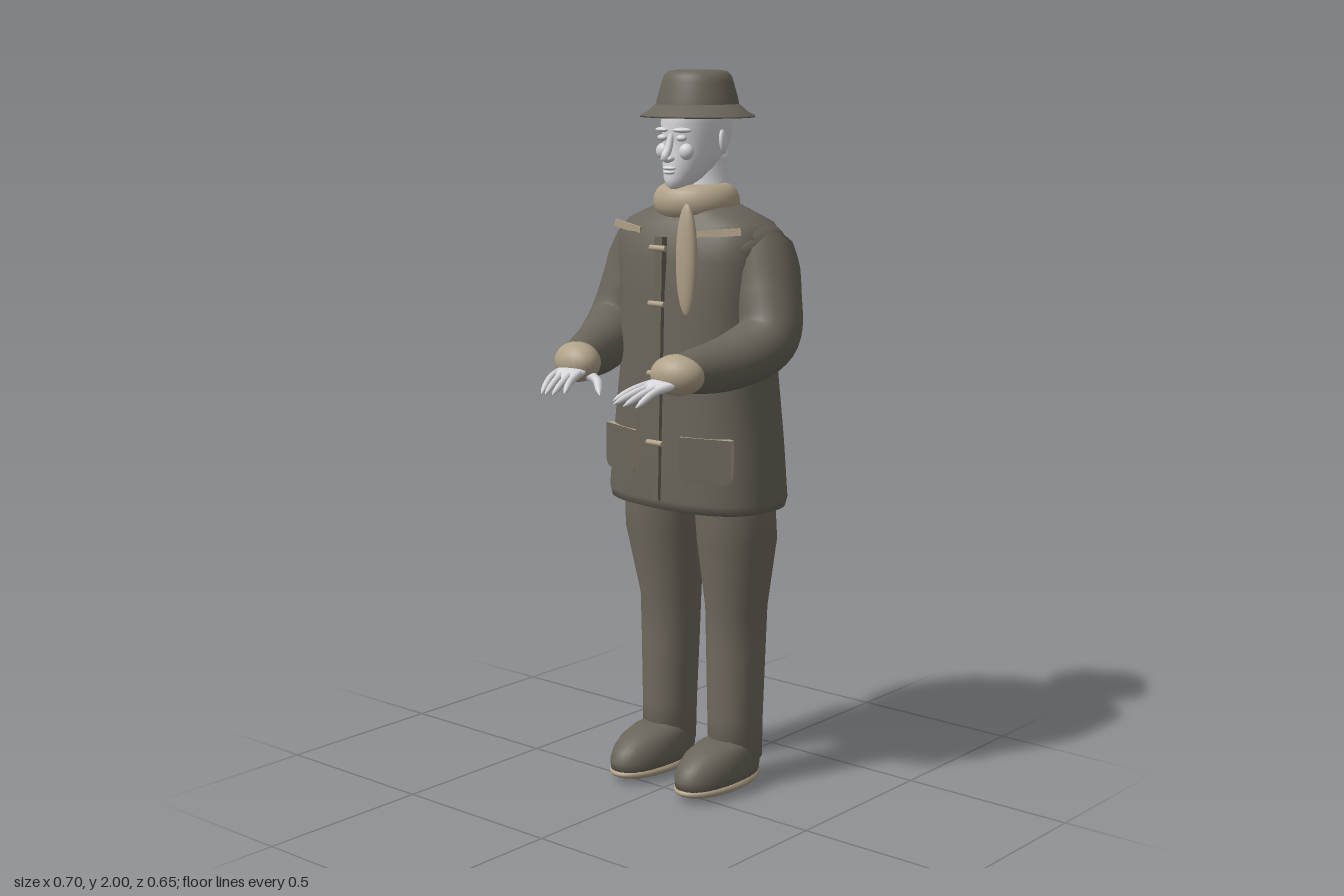
import * as THREE from 'three';

const mat = (name, color) => {
  const m = new THREE.MeshStandardMaterial({ color });
  m.name = name;
  return m;
};

export function createModel() {
  const model = new THREE.Group();
  const coatMat = mat('coat wool', 0x6a655a);
  const trouserMat = mat('trouser cloth', 0x70695d);
  const tan = mat('tan knit', 0xb0a188);
  const skin = mat('pale skin', 0xd6d6da);

  const add = (name, geo, material, pos = [0, 0, 0], scale = [1, 1, 1], rot = [0, 0, 0]) => {
    const m = new THREE.Mesh(geo, material);
    m.name = name;
    m.position.set(...pos);
    m.scale.set(...scale);
    m.rotation.set(...rot);
    model.add(m);
    return m;
  };
  const ball = (name, material, pos, radii, rot) =>
    add(name, new THREE.SphereGeometry(1, 28, 18), material, pos, radii, rot);

  // Stacked horizontal sections: [y, centre x, half width, front z, back z]
  const loft = (rings, power = 2, n = 40) => {
    const pos = [], idx = [];
    const bend = (v) => Math.sign(v) * Math.abs(v) ** (2 / power);
    rings.forEach(([y, cx, w, zf, zb]) => {
      for (let j = 0; j < n; j++) {
        const a = (j / n) * Math.PI * 2;
        pos.push(cx + w * bend(Math.cos(a)), y, (zf + zb) / 2 + ((zf - zb) / 2) * bend(Math.sin(a)));
      }
    });
    const last = (rings.length - 1) * n, c = rings.length * n;
    for (const [y, cx, , zf, zb] of [rings[0], rings.at(-1)]) pos.push(cx, y, (zf + zb) / 2);
    for (let j = 0; j < n; j++) {
      const k = (j + 1) % n;
      for (let o = 0; o < last; o += n) idx.push(o + j, o + n + j, o + k, o + k, o + n + j, o + n + k);
      idx.push(c, j, k, c + 1, last + k, last + j);
    }
    const g = new THREE.BufferGeometry();
    g.setAttribute('position', new THREE.Float32BufferAttribute(pos, 3));
    g.setIndex(idx);
    g.computeVertexNormals();
    return g;
  };

  // Tube along points whose thickness follows evenly spaced radii
  const limb = (points, radii, segs = 24, sides = 20) => {
    const curve = new THREE.CatmullRomCurve3(points.map((p) => new THREE.Vector3(...p)));
    const g = new THREE.TubeGeometry(curve, segs, 1, sides);
    const p = g.attributes.position, v = new THREE.Vector3();
    for (let i = 0; i <= segs; i++) {
      const c = curve.getPointAt(i / segs);
      const t = (i / segs) * (radii.length - 1), k = Math.min(Math.floor(t), radii.length - 2);
      const r = THREE.MathUtils.lerp(radii[k], radii[k + 1], t - k);
      for (let j = 0; j <= sides; j++) {
        const q = i * (sides + 1) + j;
        v.fromBufferAttribute(p, q).sub(c).multiplyScalar(r).add(c);
        p.setXYZ(q, v.x, v.y, v.z);
      }
    }
    return g;
  };

  // Coat body
  add('coat', loft([
    [0.81, 0, 0.245, 0.01, -0.3], [0.815, 0, 0.262, 0.024, -0.315], [0.84, 0, 0.268, 0.03, -0.322],
    [1.0, 0, 0.252, 0.026, -0.32], [1.2, 0, 0.227, 0.02, -0.315], [1.4, 0, 0.232, 0.014, -0.322],
    [1.5, 0, 0.245, 0.005, -0.312], [1.56, 0, 0.245, -0.008, -0.298], [1.595, 0, 0.222, -0.03, -0.28],
    [1.62, 0, 0.165, -0.05, -0.255], [1.645, 0, 0.1, -0.06, -0.235],
  ], 2.5, 56), coatMat);
  add('placket', new THREE.BoxGeometry(0.026, 0.72, 0.02), coatMat, [0, 1.2, 0.022], [1, 1, 1], [-0.025, 0, 0]);
  [[1.53, 0.024], [1.38, 0.03], [1.19, 0.034], [1.0, 0.038]].forEach(([y, z]) =>
    add('toggle', new THREE.CylinderGeometry(0.008, 0.008, 0.054, 12), tan, [0, y, z], [1, 1, 1], [0, 0, Math.PI / 2]));

  // Pocket outline with rounded lower corners
  const pocket = new THREE.Shape();
  pocket.moveTo(-0.075, 0.062);
  pocket.lineTo(-0.075, -0.035);
  pocket.quadraticCurveTo(-0.075, -0.062, -0.048, -0.062);
  pocket.lineTo(0.048, -0.062);
  pocket.quadraticCurveTo(0.075, -0.062, 0.075, -0.035);
  pocket.lineTo(0.075, 0.062);
  const pocketGeo = new THREE.ExtrudeGeometry(pocket, { depth: 0.022, bevelEnabled: false });

  for (const s of [1, -1]) {
    const side = s > 0 ? 'left' : 'right';

    add(side + 'Pocket', pocketGeo, [coatMat, tan], [s * 0.146, 0.963, -0.012], [1, 1, 1], [0, s * 0.3, 0]);
    add(side + 'ShoulderFlap', new THREE.BoxGeometry(0.13, 0.02, 0.006), tan,
      [s * 0.16, 1.575, -0.036], [1, 1, 1], [0, s * 0.28, s * 0.1]);

    // Sleeve, cuff and hand
    add(side + 'Sleeve', limb(
      [[s * 0.17, 1.56, -0.165], [s * 0.2, 1.52, -0.165], [s * 0.237, 1.41, -0.15], [s * 0.265, 1.3, -0.115],
        [s * 0.235, 1.245, -0.01], [s * 0.178, 1.22, 0.16]],
      [0.04, 0.09, 0.095, 0.092, 0.089, 0.087, 0.084, 0.08, 0.074, 0.068, 0.06, 0.05], 44, 28), coatMat);
    ball(side + 'Shoulder', coatMat, [s * 0.178, 1.53, -0.16], [0.082, 0.075, 0.11]);
    ball(side + 'Cuff', tan, [s * 0.178, 1.22, 0.153], [0.076, 0.055, 0.057], [0, s * 0.25, 0]);
    ball(side + 'Palm', skin, [s * 0.16, 1.198, 0.2], [0.046, 0.016, 0.05], [0.25, s * -0.3, 0]);
    [[0.196, 0.167, 0.308], [0.175, 0.138, 0.324], [0.15, 0.108, 0.328], [0.126, 0.086, 0.305]]
      .forEach(([x0, x1, z1], i) => add(side + 'Finger', limb(
        [[s * x0, 1.198, 0.205], [s * (x0 * 0.55 + x1 * 0.45), 1.185, 0.258], [s * x1, 1.152 + 0.003 * i, z1]],
        [0.011, 0.011, 0.0105, 0.01, 0.0095, 0.009, 0.007, 0.001], 14, 10), skin));
    add(side + 'Thumb', limb(
      [[s * 0.135, 1.195, 0.165], [s * 0.1, 1.175, 0.16], [s * 0.084, 1.16, 0.172], [s * 0.071, 1.142, 0.183]],
      [0.016, 0.014, 0.013, 0.012, 0.01, 0.001], 12, 10), skin);

    // Trouser leg
    add(side + 'TrouserLeg', loft([
      [0.08, s * 0.122, 0.073, -0.09, -0.248], [0.2, s * 0.121, 0.075, -0.088, -0.25],
      [0.4, s * 0.12, 0.081, -0.086, -0.257], [0.52, s * 0.12, 0.084, -0.083, -0.262],
      [0.72, s * 0.131, 0.108, -0.045, -0.273], [0.82, s * 0.128, 0.108, -0.038, -0.268],
      [0.9, s * 0.125, 0.1, -0.04, -0.26],
    ], 2.1), trouserMat);

    // Boot and sole
    add(side + 'Boot', loft([
      [0.03, s * 0.12, 0.078, 0.064, -0.246], [0.06, s * 0.12, 0.083, 0.066, -0.25],
      [0.09, s * 0.12, 0.08, 0.052, -0.25], [0.115, s * 0.12, 0.073, 0.025, -0.25],
      [0.132, s * 0.12, 0.063, -0.015, -0.248], [0.143, s * 0.12, 0.045, -0.06, -0.24],
    ], 2.1), coatMat);
    ball(side + 'Sole', tan, [s * 0.12, 0.029, -0.092], [0.086, 0.029, 0.163]);

    // Facial features on this side
    ball(side + 'Ear', skin, [s * 0.086, 1.81, -0.145], [0.01, 0.033, 0.02], [0.2, s * 0.35, 0]);
    ball(side + 'Eye', skin, [s * 0.033, 1.821, -0.033], [0.016, 0.009, 0.012]);
    ball(side + 'Brow', skin, [s * 0.035, 1.842, -0.033], [0.027, 0.007, 0.014], [0, s * 0.35, 0]);
    ball(side + 'Cheek', skin, [s * 0.04, 1.785, -0.045], [0.022, 0.022, 0.018]);
    ball(side + 'Nostril', skin, [s * 0.011, 1.766, -0.014], [0.009, 0.008, 0.012]);
  }

  // Head and neck
  add('head', loft([
    [1.685, 0, 0.016, -0.034, -0.075], [1.693, 0, 0.03, -0.023, -0.1], [1.71, 0, 0.044, -0.019, -0.135],
    [1.74, 0, 0.06, -0.02, -0.19], [1.78, 0, 0.073, -0.024, -0.23], [1.82, 0, 0.08, -0.03, -0.248],
    [1.86, 0, 0.084, -0.022, -0.25], [1.91, 0, 0.08, -0.035, -0.24], [1.95, 0, 0.055, -0.07, -0.21],
  ]), skin);
  add('neck', loft([
    [1.62, 0, 0.13, -0.06, -0.25], [1.65, 0, 0.09, -0.08, -0.25], [1.7, 0, 0.063, -0.1, -0.244],
    [1.76, 0, 0.06, -0.1, -0.243], [1.8, 0, 0.055, -0.11, -0.235],
  ]), skin);
  add('nose', limb([[0, 1.83, -0.032], [0, 1.795, -0.019], [0, 1.769, -0.005], [0, 1.758, -0.022]],
    [0.008, 0.009, 0.011, 0.012, 0.004], 14, 12), skin);
  ball('upperLip', skin, [0, 1.741, -0.022], [0.022, 0.006, 0.012]);
  ball('lowerLip', skin, [0, 1.73, -0.022], [0.018, 0.006, 0.012]);

  // Hat: crown and drooping brim
  const lathe = (pts) => new THREE.LatheGeometry(pts.map((p) => new THREE.Vector2(...p)), 40);
  add('hatCrown', lathe([[0.115, 1.895], [0.113, 1.92], [0.099, 1.968], [0.094, 1.983], [0.081, 1.996], [0.06, 1.999], [0, 2]]),
    coatMat, [0, 0, -0.14], [1, 1, 0.95]);
  add('hatBrim', lathe([[0.08, 1.895], [0.115, 1.892], [0.145, 1.88], [0.161, 1.874], [0.16, 1.879], [0.14, 1.889], [0.118, 1.908], [0.1, 1.912]]),
    coatMat, [0, 0, -0.14], [1, 1, 0.92]);

  // Scarf ring and hanging tail
  add('scarf', new THREE.TorusGeometry(0.076, 0.045, 20, 40), tan, [0, 1.648, -0.137], [1, 0.95, 1.08], [Math.PI / 2, 0, 0]);
  ball('scarfTail', tan, [0.083, 1.5, 0.004], [0.034, 0.152, 0.02]);

  return model;
}
